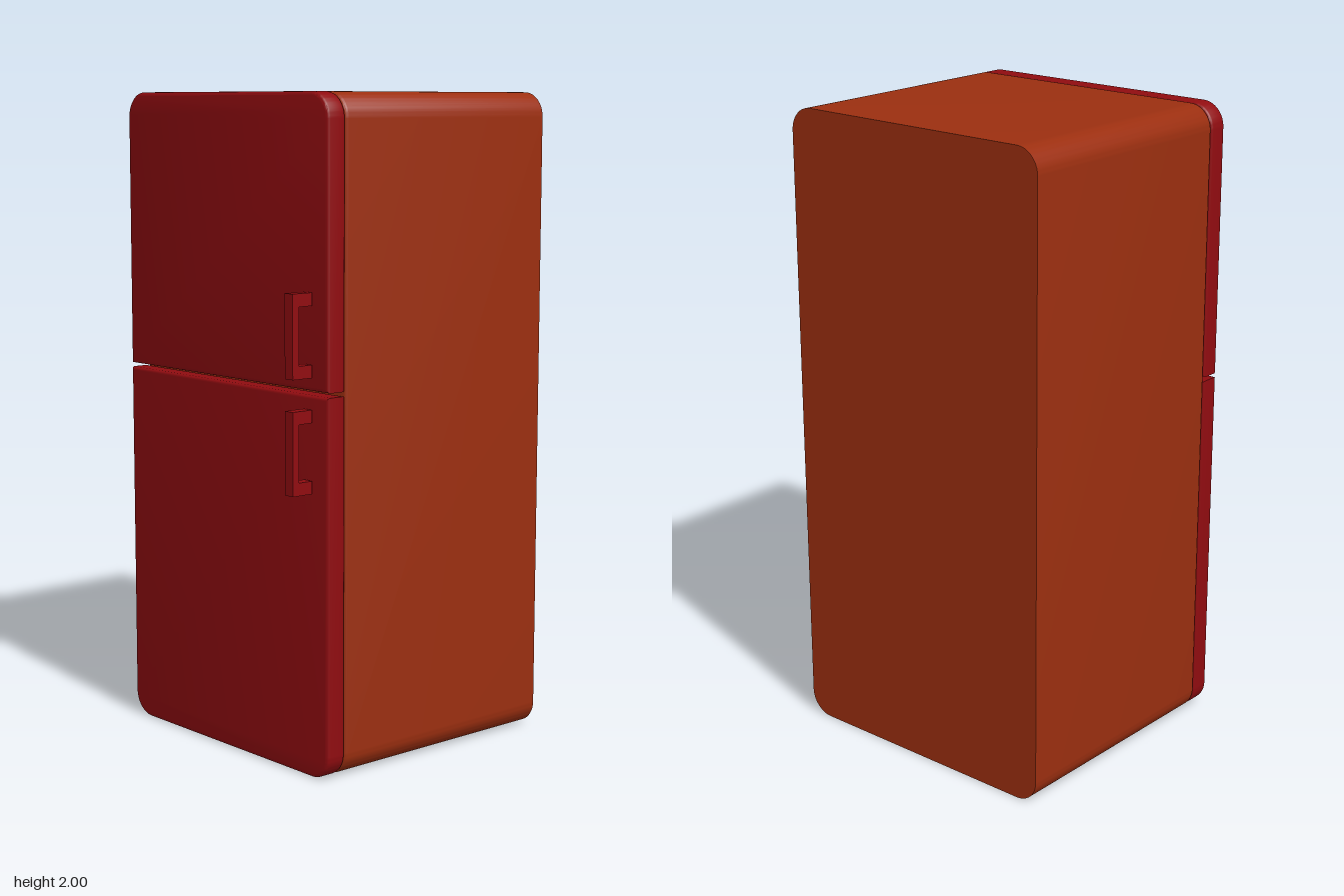
import * as THREE from 'three';
import { toCreasedNormals } from 'three/addons/utils/BufferGeometryUtils.js';

const HALF = 0.475, RADIUS = 0.075, BEVEL = 0.01;

// Panel outline across the depth (shape x becomes z), with separate bottom and top corner radii
function outline(y0, y1, rBottom, rTop) {
  const s = new THREE.Shape();
  s.moveTo(-HALF + rBottom, y0);
  s.lineTo(HALF - rBottom, y0);
  if (rBottom) s.absarc(HALF - rBottom, y0 + rBottom, rBottom, -Math.PI / 2, 0);
  s.lineTo(HALF, y1 - rTop);
  if (rTop) s.absarc(HALF - rTop, y1 - rTop, rTop, 0, Math.PI / 2);
  s.lineTo(-HALF + rTop, y1);
  if (rTop) s.absarc(-HALF + rTop, y1 - rTop, rTop, Math.PI / 2, Math.PI);
  s.lineTo(-HALF, y0 + rBottom);
  if (rBottom) s.absarc(-HALF + rBottom, y0 + rBottom, rBottom, Math.PI, Math.PI * 1.5);
  return s;
}

// Extrudes an outline from xBack towards -x, bevelled at the door side and optionally at the back
function slab(name, shape, xBack, xFront, material, bevelBack) {
  const length = xBack - xFront;
  const geo = new THREE.ExtrudeGeometry(shape, {
    depth: length - BEVEL * (bevelBack ? 2 : 1), curveSegments: 8,
    bevelThickness: BEVEL, bevelSize: BEVEL, bevelOffset: -BEVEL, bevelSegments: 3,
  });
  if (bevelBack) geo.translate(0, 0, BEVEL);
  else {
    // Flatten the rear bevel so the back edge stays sharp
    const p = geo.attributes.position;
    for (let i = 0; i < p.count; i++) p.setZ(i, Math.max(0, p.getZ(i)));
  }
  geo.rotateY(-Math.PI / 2);
  geo.translate(xBack, 0, 0);
  const mesh = new THREE.Mesh(toCreasedNormals(geo, 0.7), material);
  mesh.name = name;
  return mesh;
}

// C-shaped pull handle
function handle(name, y0, y1, material) {
  const outer = -0.478, inner = -0.455, root = -0.406, t = 0.038;
  const s = new THREE.Shape([
    [outer, y0], [root, y0], [root, y0 + t], [inner, y0 + t],
    [inner, y1 - t], [root, y1 - t], [root, y1], [outer, y1],
  ].map(([x, y]) => new THREE.Vector2(x, y)));
  const geo = new THREE.ExtrudeGeometry(s, { depth: 0.035, bevelEnabled: false });
  geo.translate(0, 0, 0.38);
  const mesh = new THREE.Mesh(geo, material);
  mesh.name = name;
  return mesh;
}

export function createModel() {
  const group = new THREE.Group();
  group.name = 'refrigerator';
  const bodyMat = new THREE.MeshStandardMaterial({ color: 0x9c2f10 });
  const doorMat = new THREE.MeshStandardMaterial({ color: 0x900c10 });

  group.add(
    slab('cabinet', outline(0, 2, RADIUS, RADIUS), 0.475, -0.331, bodyMat, false),
    slab('upperDoor', outline(1.15, 2, 0, RADIUS), -0.331, -0.398, doorMat, true),
    slab('lowerDoor', outline(0, 1.137, RADIUS, 0), -0.331, -0.398, doorMat, true),
    handle('upperHandle', 1.19, 1.435, doorMat),
    handle('lowerHandle', 0.853, 1.098, doorMat),
  );
  return group;
}
